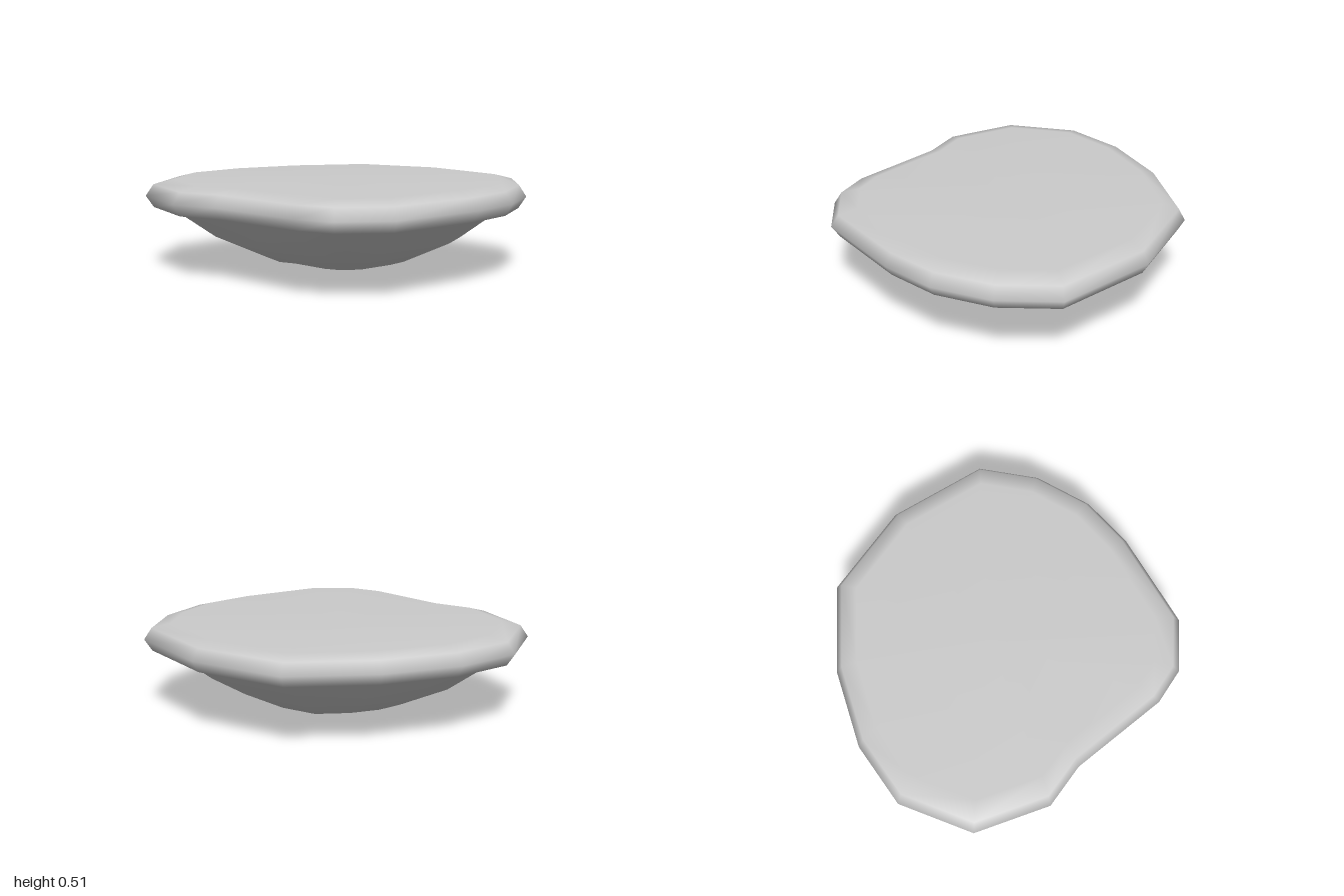
import * as THREE from 'three';
import { mergeVertices } from 'three/addons/utils/BufferGeometryUtils.js';

// Irregular outline of the slab at its widest, as [x, z]
const outline = [
  [-0.37, -1], [0.01, -0.95], [0.42, -0.76], [0.81, -0.43], [0.93, 0.12],
  [0.82, 0.69], [0.54, 0.9], [0.21, 1], [-0.11, 0.99], [-0.66, 0.86],
  [-0.87, 0.64], [-0.92, 0.43], [-0.88, -0.15], [-0.93, -0.41], [-0.76, -0.81],
];
const pole = [-0.04, -0.03];

// Stacks scaled copies of the outline, bottom to top; scale 0 closes at the pole
function stack(rings) {
  const n = outline.length, positions = [], index = [];
  for (const [s, y] of rings)
    for (const [x, z] of outline)
      positions.push(s ? x * s : pole[0], y, s ? z * s : pole[1]);
  for (let i = 0; i < rings.length - 1; i++) {
    for (let j = 0; j < n; j++) {
      const a = i * n + j, b = i * n + (j + 1) % n;
      if (rings[i][0]) index.push(a, a + n, b);
      if (rings[i + 1][0]) index.push(b, a + n, b + n);
    }
  }
  let geometry = new THREE.BufferGeometry();
  geometry.setAttribute('position', new THREE.Float32BufferAttribute(positions, 3));
  geometry.setIndex(index);
  geometry = mergeVertices(geometry);
  geometry.computeVertexNormals();
  return geometry;
}

export function createModel() {
  const group = new THREE.Group();
  group.name = 'floatingIsland';
  const material = new THREE.MeshStandardMaterial({ color: 0xcccccc });
  const add = (name, rings) => {
    const mesh = new THREE.Mesh(stack(rings), material);
    mesh.name = name;
    group.add(mesh);
  };
  // Rounded slab with a flat top
  add('topSlab', [[0.86, 0.34], [0.96, 0.355], [1, 0.42], [0.96, 0.485], [0.86, 0.512], [0, 0.512]]);
  // Tapering underside, separate so its upper edge stays crisp
  add('underside', [[0, 0], [0.385, 0.055], [0.65, 0.18], [0.86, 0.34]]);
  return group;
}
